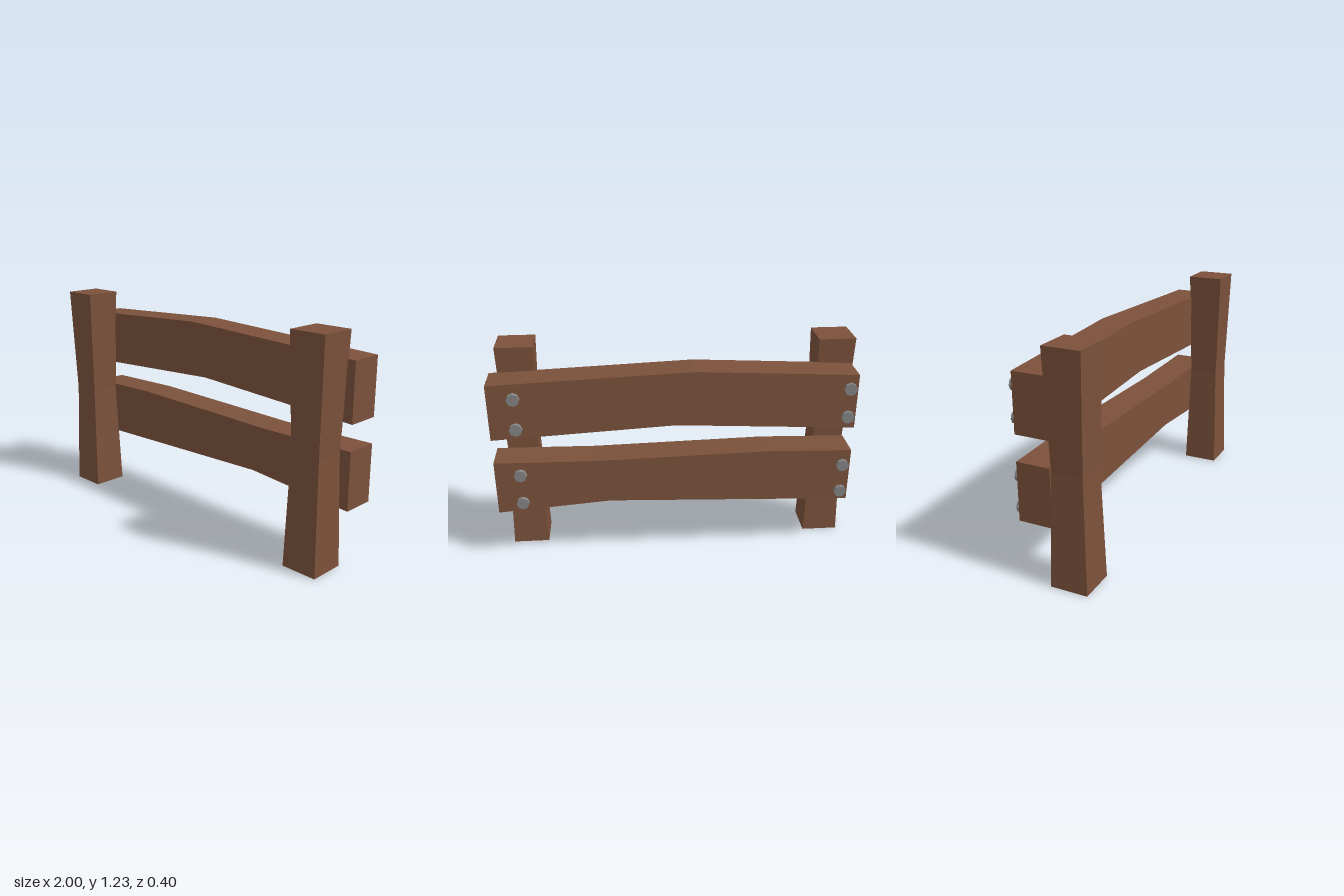
import * as THREE from 'three';

const wood = new THREE.MeshStandardMaterial({ color: 0x7b513b, flatShading: true });
const metal = new THREE.MeshStandardMaterial({ color: 0x858585, flatShading: true });

const HEIGHT = 1.23;
const RAIL_FRONT = 0.008;
const RAIL_BACK = -0.177;

// Square post that narrows to a waist at half height
function makePost(name, x) {
  const geometry = new THREE.BoxGeometry(0.204, HEIGHT, 0.203, 1, 2, 1);
  const p = geometry.attributes.position;
  for (let i = 0; i < p.count; i++) {
    if (Math.abs(p.getY(i)) < 0.01) {
      p.setX(i, p.getX(i) * 0.83);
      p.setZ(i, p.getZ(i) * 0.83);
    }
  }
  geometry.computeVertexNormals();
  const post = new THREE.Mesh(geometry, wood);
  post.name = name;
  post.position.set(x, HEIGHT / 2, 0.0985);
  return post;
}

// Rough-hewn plank: side outline extruded through its thickness
function makeRail(name, outline) {
  const shape = new THREE.Shape(outline.map(([x, y]) => new THREE.Vector2(x, y)));
  const geometry = new THREE.ExtrudeGeometry(shape, { depth: RAIL_FRONT - RAIL_BACK, bevelEnabled: false });
  const rail = new THREE.Mesh(geometry, wood);
  rail.name = name;
  rail.position.z = RAIL_BACK;
  return rail;
}

// Bolt head standing out from the back of a rail
function makeBolt(x, y) {
  const bolt = new THREE.Mesh(new THREE.CylinderGeometry(0.035, 0.035, 0.033, 8), metal);
  bolt.name = 'bolt';
  bolt.rotation.x = Math.PI / 2;
  bolt.position.set(x, y, -0.1835);
  return bolt;
}

export function createModel() {
  const model = new THREE.Group();
  model.name = 'fence';

  model.add(makePost('rightPost', -0.898), makePost('leftPost', 0.857));

  model.add(makeRail('upperRail', [
    [-0.985, 0.773], [0, 0.825], [1, 0.77],
    [1, 1.086], [-0.1, 1.131], [-0.985, 1.086],
  ]));
  model.add(makeRail('lowerRail', [
    [-0.985, 0.318], [0.37, 0.367], [1, 0.317],
    [1, 0.631], [0.45, 0.623], [-0.5, 0.645], [-0.985, 0.633],
  ]));

  // Two bolts per rail at each post
  const bolts = new THREE.Group();
  bolts.name = 'bolts';
  for (const y of [1.01, 0.845, 0.545, 0.378]) bolts.add(makeBolt(-0.94, y));
  for (const y of [1.01, 0.835, 0.555, 0.38]) bolts.add(makeBolt(0.86, y));
  model.add(bolts);

  return model;
}
